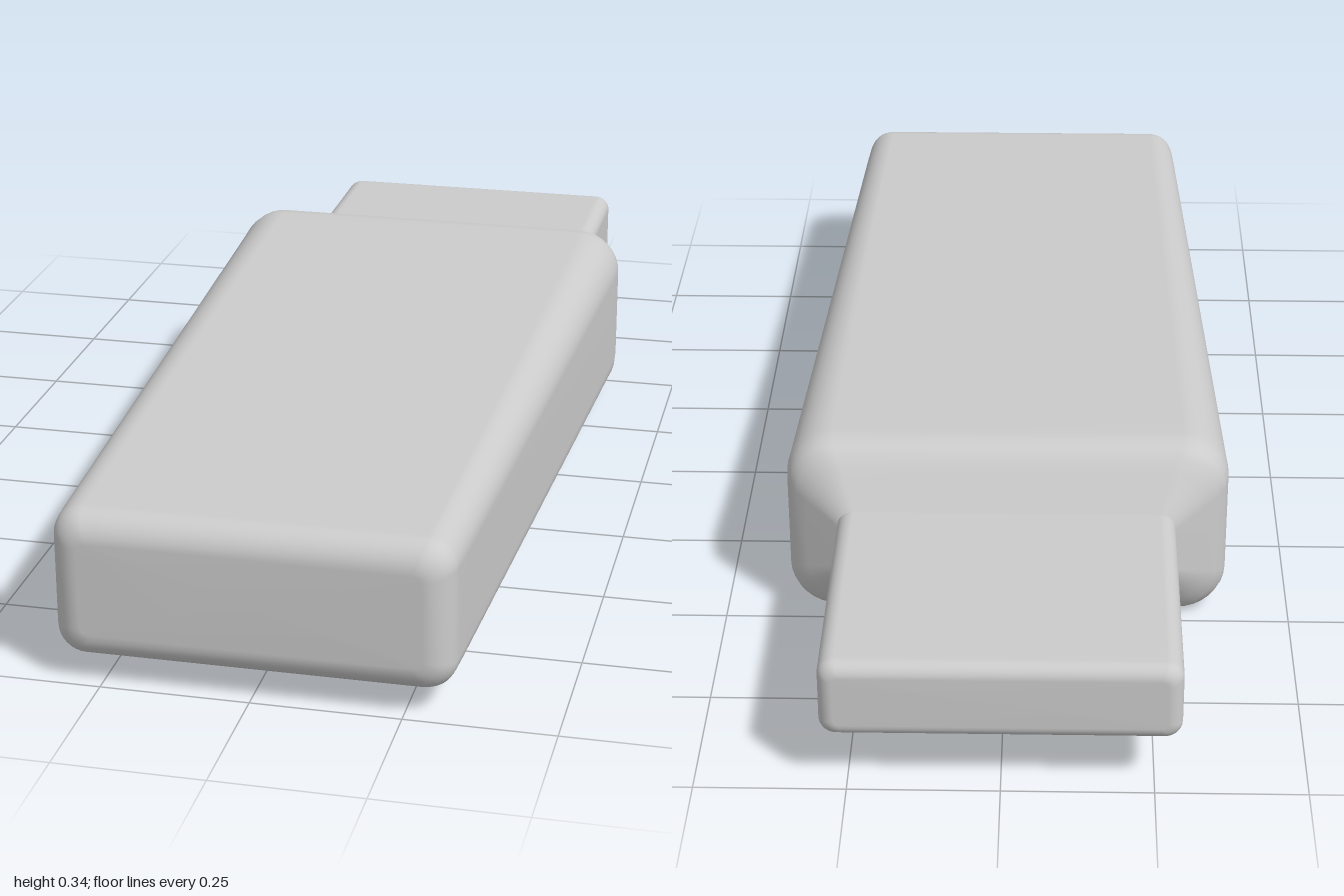
import * as THREE from 'three';

const MID_Y = 0.171; // height of the shared long axis
const CORNER_STEPS = 8;

// Rounded rectangle, counter-clockwise seen from +z
function ring([z, halfW, halfH, r]) {
  const points = [];
  const corners = [[1, 1], [-1, 1], [-1, -1], [1, -1]];
  corners.forEach(([sx, sy], q) => {
    for (let i = 0; i <= CORNER_STEPS; i++) {
      const a = (q + i / CORNER_STEPS) * Math.PI / 2;
      points.push([sx * (halfW - r) + r * Math.cos(a), sy * (halfH - r) + r * Math.sin(a), z]);
    }
  });
  return points;
}

// Skin a list of [z, halfWidth, halfHeight, cornerRadius] sections running from +z to -z
function loft(sections, capFront, capBack) {
  const n = 4 * (CORNER_STEPS + 1);
  const last = (sections.length - 1) * n;
  const positions = sections.flatMap((s) => ring(s).flat());
  const index = [];
  for (let i = 0; i < last; i += n) {
    for (let j = 0; j < n; j++) {
      const k = (j + 1) % n;
      index.push(i + j, i + n + j, i + k, i + k, i + n + j, i + n + k);
    }
  }
  const cap = (start, z, flip) => {
    const centre = positions.length / 3;
    positions.push(0, 0, z);
    for (let j = 0; j < n; j++) {
      const a = start + j, b = start + (j + 1) % n;
      index.push(centre, flip ? b : a, flip ? a : b);
    }
  };
  if (capFront) cap(0, sections[0][0], false);
  if (capBack) cap(last, sections[sections.length - 1][0], true);

  const geometry = new THREE.BufferGeometry();
  geometry.setAttribute('position', new THREE.Float32BufferAttribute(positions, 3));
  geometry.setIndex(index);
  geometry.computeVertexNormals();
  return geometry;
}

// Sections of a quarter-round edge that closes an end; dir is +1 at the front, -1 at the back
function roundedEnd(z, halfW, halfH, corner, edge, dir) {
  const sections = [];
  for (let i = 0; i <= 6; i++) {
    const a = (i / 6) * Math.PI / 2;
    const inset = edge * (1 - Math.sin(a));
    sections.push([
      z - dir * edge * (1 - Math.cos(a)),
      halfW - inset, halfH - inset, Math.max(corner - inset * 0.7, 0.008),
    ]);
  }
  return dir > 0 ? sections : sections.reverse();
}

export function createModel() {
  const group = new THREE.Group();
  const material = new THREE.MeshStandardMaterial({ color: 0xcccccc });
  const add = (name, geometry) => {
    const mesh = new THREE.Mesh(geometry, material);
    mesh.name = name;
    mesh.position.y = MID_Y;
    group.add(mesh);
  };

  // Tapered body, widening to a soft shoulder that slopes in to the plug
  add('body', loft([
    ...roundedEnd(1, 0.331, 0.13, 0.05, 0.05, 1),
    [0.9, 0.334, 0.131, 0.052],
    [-0.38, 0.386, 0.168, 0.08],
    [-0.425, 0.388, 0.171, 0.082],
    [-0.45, 0.386, 0.169, 0.082],
    [-0.468, 0.38, 0.162, 0.078],
    [-0.482, 0.368, 0.149, 0.072],
    [-0.495, 0.35, 0.131, 0.064],
    [-0.535, 0.293, 0.07, 0.03],
  ], true, false));

  // Flat connector plug at the back
  add('plug', loft([
    [-0.5, 0.293, 0.07, 0.028],
    [-0.95, 0.293, 0.07, 0.028],
    ...roundedEnd(-1, 0.293, 0.07, 0.028, 0.025, -1),
  ], false, true));

  return group;
}
